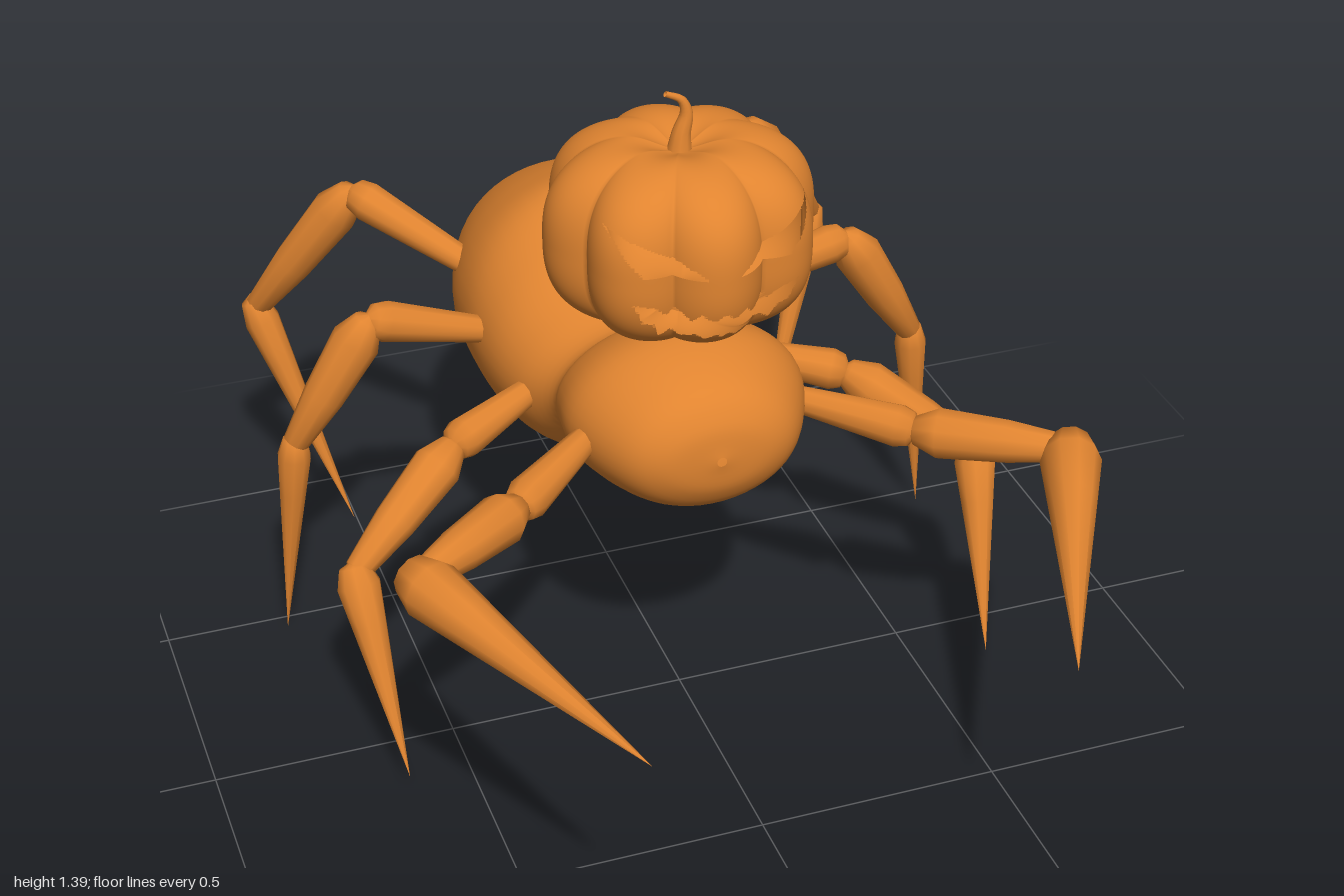
import * as THREE from 'three';

const orange = new THREE.MeshStandardMaterial({ color: 0xe08430, side: THREE.DoubleSide });
orange.name = 'pumpkin orange';

// Closed-around surface: fn(v, u) gives a point, v along rows, u around; skip() drops triangles
function surface(rows, cols, fn, skip = () => false) {
  const pts = [], index = [];
  for (let i = 0; i <= rows; i++)
    for (let j = 0; j < cols; j++) pts.push(fn(i / rows, j / cols));
  const tri = (...t) => {
    const c = new THREE.Vector3();
    t.forEach(k => c.addScaledVector(pts[k], 1 / 3));
    if (!skip(c)) index.push(...t);
  };
  for (let i = 0; i < rows; i++)
    for (let j = 0; j < cols; j++) {
      const k = (j + 1) % cols;
      const a = i * cols + j, b = a + cols, c = i * cols + k, d = c + cols;
      tri(a, b, c);
      tri(c, b, d);
    }
  const g = new THREE.BufferGeometry().setFromPoints(pts);
  g.setIndex(index);
  g.computeVertexNormals();
  return g;
}

function add(parent, name, geometry) {
  const m = new THREE.Mesh(geometry, orange);
  m.name = name;
  parent.add(m);
  return m;
}

function inside(poly, x, y) {
  let hit = false;
  for (let i = 0, j = poly.length - 1; i < poly.length; j = i++) {
    const [xi, yi] = poly[i], [xj, yj] = poly[j];
    if ((yi > y) !== (yj > y) && x < (xj - xi) * (y - yi) / (yj - yi) + xi) hit = !hit;
  }
  return hit;
}

// Carved openings; x is mirrored
const EYE = [[0.03, 1.137], [0.08, 1.168], [0.13, 1.19], [0.2, 1.225], [0.175, 1.17], [0.145, 1.135]];
const MOUTH = [[0, 1.06], [0.02, 1.045], [0.045, 1.06], [0.06, 1.043], [0.085, 1.068], [0.1, 1.05],
  [0.125, 1.07], [0.165, 1.08], [0.145, 1.035], [0.125, 1.03], [0.11, 0.995], [0.09, 1.01],
  [0.07, 0.992], [0.05, 1.008], [0.03, 0.992], [0.012, 1.008], [0, 0.995]];

// Ribbed hollow head
function headGeometry() {
  const pw = (v, e) => Math.sign(v) * Math.abs(v) ** e;
  return surface(180, 240, (v, u) => {
    const phi = v * Math.PI, th = u * Math.PI * 2;
    const rr = 0.272 * Math.abs(Math.sin(phi)) ** 0.72;
    const r = rr * (0.86 + 0.14 * Math.abs(Math.cos(4 * th)) ** 0.9);
    const dip = 0.035 * Math.exp(-((rr / 0.08) ** 2));
    const y = 1.12 + 0.192 * pw(Math.cos(phi), 0.75) - Math.sign(Math.cos(phi)) * dip;
    return new THREE.Vector3(r * Math.sin(th), y, r * Math.cos(th));
  }, c => c.z > 0 && (inside(EYE, Math.abs(c.x), c.y) || inside(MOUTH, Math.abs(c.x), c.y)));
}

// Body stations: z, top, bottom, half width
const BODY = [[0.25, 0.73, 0.71, 0.01], [0.235, 0.8, 0.64, 0.12], [0.18, 0.86, 0.58, 0.19],
  [0.05, 0.9, 0.55, 0.245], [-0.07, 0.87, 0.545, 0.235], [-0.17, 0.8, 0.51, 0.215],
  [-0.28, 0.83, 0.43, 0.26], [-0.4, 0.91, 0.385, 0.29], [-0.52, 0.96, 0.372, 0.3],
  [-0.65, 0.93, 0.38, 0.29], [-0.8, 0.865, 0.41, 0.245], [-0.9, 0.8, 0.47, 0.19],
  [-0.96, 0.73, 0.53, 0.13], [-0.97, 0.64, 0.63, 0.01]];

function bodyGeometry() {
  const curve = f => new THREE.CatmullRomCurve3(BODY.map(f), false, 'catmullrom', 0.5);
  const heights = curve(([z, t, b]) => new THREE.Vector3(z, t, b));
  const widths = curve(([z, , , w]) => new THREE.Vector3(z, w, 0));
  return surface(78, 48, (v, u) => {
    const h = heights.getPoint(v), w = widths.getPoint(v).y, a = -u * Math.PI * 2;
    return new THREE.Vector3(w * Math.sin(a),
      (h.y + h.z) / 2 + (h.y - h.z) / 2 * Math.cos(a), h.x);
  });
}

// Curled tapering stem
function stemGeometry() {
  const path = new THREE.CatmullRomCurve3([[0, 1.27], [0.004, 1.31], [0.014, 1.35], [0.004, 1.38], [-0.028, 1.397]]
    .map(([x, y]) => new THREE.Vector3(x, y, 0)));
  return surface(16, 10, (v, u) => {
    const p = path.getPoint(v), t = path.getTangent(v), a = u * Math.PI * 2;
    const r = 0.006 + 0.02 * (1 - v) ** 1.5;
    return p.add(new THREE.Vector3(t.y * Math.cos(a) * r, -t.x * Math.cos(a) * r, Math.sin(a) * r));
  });
}

// Lathed leg segment from a to b; profile rows are [radius, fraction of length]
function segment(parent, name, a, b, profile) {
  const dir = new THREE.Vector3().subVectors(b, a), len = dir.length();
  const m = add(parent, name,
    new THREE.LatheGeometry(profile.map(([r, t]) => new THREE.Vector2(r, t * len)), 10));
  m.position.copy(a);
  m.quaternion.setFromUnitVectors(new THREE.Vector3(0, 1, 0), dir.normalize());
}

// Root, elbow, knee and tip of each left leg, and the thickness of its claw
const LEGS = [
  ['frontLeg', 0.06, [0.2, 0.72, 0.06], [0.41, 0.7, 0.24], [0.655, 0.72, 0.43], [0.4, 0.655, 1]],
  ['secondLeg', 0.045, [0.2, 0.63, -0.29], [0.43, 0.6, -0.16], [0.675, 0.43, -0.03], [0.635, 0.05, 0.17]],
  ['thirdLeg', 0.036, [0.24, 0.67, -0.45], [0.53, 0.77, -0.42], [0.7, 0.49, -0.44], [0.745, 0.01, -0.46]],
  ['rearLeg', 0.04, [0.22, 0.71, -0.62], [0.46, 0.85, -0.83], [0.665, 0.53, -0.96], [0.505, 0.01, -0.82]],
];

function leg([name, claw, ...joints], side) {
  const g = new THREE.Group();
  g.name = (side > 0 ? 'left ' : 'right ') + name;
  const [root, elbow, knee, tip] = joints.map(([x, y, z]) => new THREE.Vector3(x * side, y, z));
  segment(g, 'upperLeg', root, elbow, [[0.026, 0], [0.044, 0.88], [0.036, 0.97], [0, 1.04]]);
  segment(g, 'middleLeg', elbow, knee, [[0, -0.05], [0.03, 0], [0.052, 0.16], [0.044, 0.6], [0.028, 0.98], [0, 1.03]]);
  segment(g, 'claw', knee, tip, [[0, -0.06], [claw * 0.7, -0.03], [claw, 0.06], [claw * 0.8, 0.25], [0, 1]]);
  return g;
}

export function createModel() {
  const model = new THREE.Group();
  model.name = 'pumpkinSpider';
  add(model, 'body', bodyGeometry());
  add(model, 'head', headGeometry());
  add(model, 'stem', stemGeometry());
  add(model, 'neck', new THREE.CylinderGeometry(0.05, 0.055, 0.1, 16)).position.set(0, 0.91, 0);
  for (const side of [1, -1])
    for (const spec of LEGS) model.add(leg(spec, side));
  return model;
}
